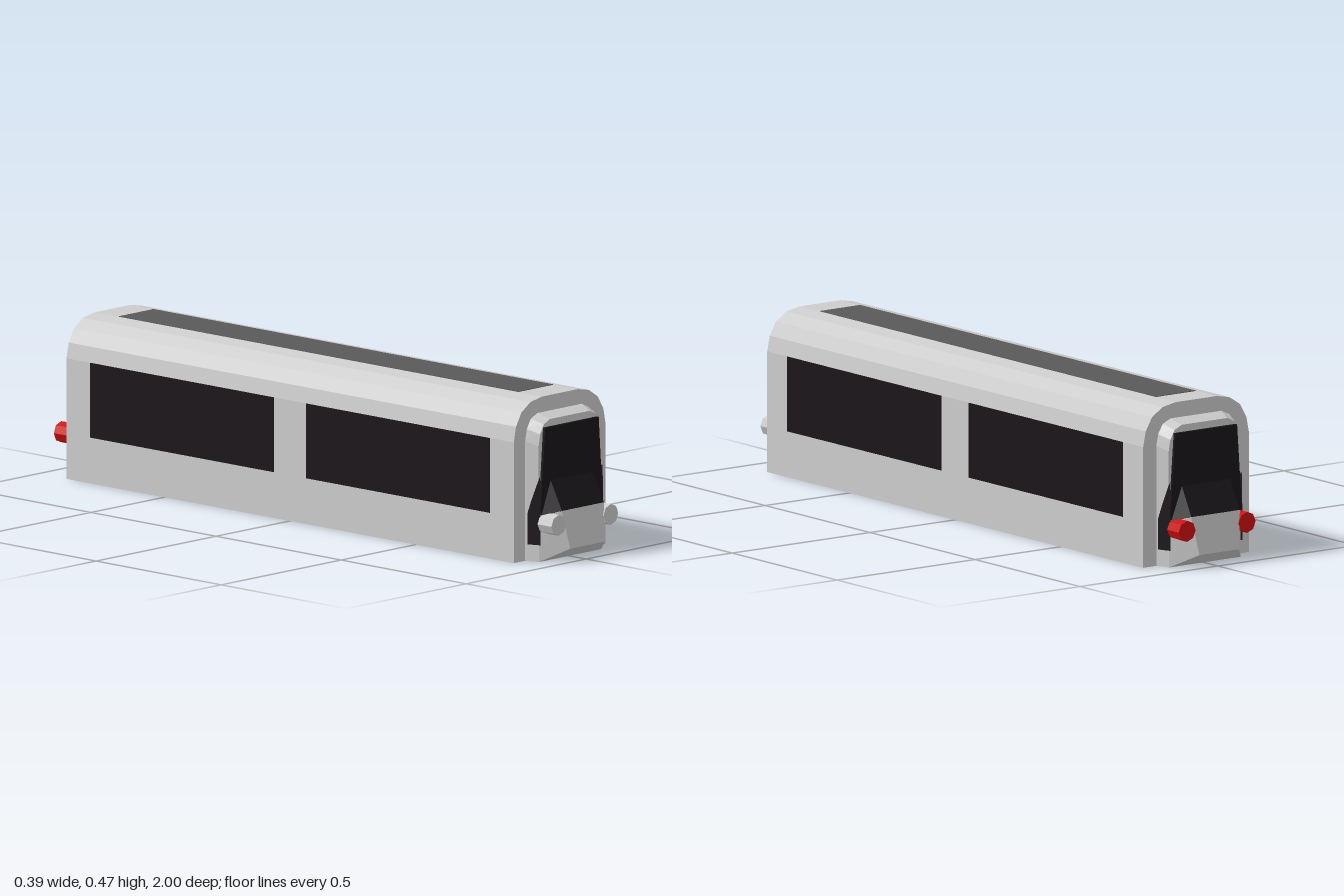
import * as THREE from 'three';
import { ConvexGeometry } from 'three/addons/geometries/ConvexGeometry.js';

const paint = (color) => new THREE.MeshStandardMaterial({ color, flatShading: true });
const grey = paint(0xcccccc);
const glass = paint(0x1a151a);
const roofGrey = paint(0x595959);
const red = paint(0xd01010);

function add(parent, name, geometry, material, x = 0, y = 0, z = 0) {
  const mesh = new THREE.Mesh(geometry, material);
  mesh.name = name;
  mesh.position.set(x, y, z);
  parent.add(mesh);
  return mesh;
}

// Arch outline from its right half, mirrored to the other side
function archShape(half) {
  const mirrored = half.map(([x, y]) => [-x, y]).reverse();
  return new THREE.Shape([...half, ...mirrored].map(([x, y]) => new THREE.Vector2(x, y)));
}

// Convex solid from points mirrored across x = 0
function mirroredHull(points) {
  return new ConvexGeometry(points.flatMap(([x, y, z]) => [
    new THREE.Vector3(x, y, z), new THREE.Vector3(-x, y, z),
  ]));
}

// One end of the carriage, facing +z
function createCab(lampMaterial) {
  const cab = new THREE.Group();

  // Arched collar that narrows away from the body
  const collar = new THREE.ExtrudeGeometry(archShape([
    [0.148, 0], [0.148, 0.355], [0.141, 0.39], [0.124, 0.418], [0.095, 0.431],
  ]), { depth: 0.05, bevelEnabled: false });
  const p = collar.attributes.position;
  for (let i = 0; i < p.count; i++) {
    if (p.getZ(i) > 0.01) p.setXY(i, p.getX(i) * 0.88, p.getY(i) * 0.96);
  }
  collar.computeVertexNormals();
  add(cab, 'collar', collar, grey, 0, 0, 0.88);

  add(cab, 'windscreen', mirroredHull([
    [0.112, 0.393, 0.92], [0.112, 0.393, 0.939], [0.131, 0.14, 0.92], [0.131, 0.14, 0.937],
  ]), glass);

  // Dark slope between windscreen and nose
  add(cab, 'windscreenHood', mirroredHull([
    [0.088, 0.235, 0.938], [0.088, 0.152, 0.982], [0.131, 0.132, 0.932], [0.088, 0.15, 0.92],
  ]), glass);

  add(cab, 'nose', mirroredHull([
    [0.13, 0, 0.92], [0.13, 0, 0.932], [0.13, 0.131, 0.92], [0.13, 0.131, 0.932],
    [0.088, 0.151, 0.982], [0.072, 0.04, 1],
  ]), grey);

  for (const side of [1, -1]) {
    // Dark corner panel wrapping round the collar
    const corner = [
      [0.146, 0.05, 0.9], [0.146, 0.14, 0.9], [0.131, 0.14, 0.939],
      [0.131, 0.05, 0.939], [0.131, 0.25, 0.936], [0.125, 0.05, 0.92], [0.125, 0.24, 0.92],
    ].map(([x, y, z]) => new THREE.Vector3(x * side, y, z));
    add(cab, 'cornerPanel', new ConvexGeometry(corner), glass);

    const lamp = new THREE.CylinderGeometry(0.031, 0.031, 0.055, 8).rotateX(Math.PI / 2);
    add(cab, 'lamp', lamp, lampMaterial, side * 0.109, 0.113, 0.9625);
  }
  return cab;
}

export function createModel() {
  const model = new THREE.Group();
  model.name = 'railCarriage';

  // Carriage sits very slightly turned
  const carriage = new THREE.Group();
  carriage.name = 'carriage';
  carriage.rotation.y = 0.005;
  model.add(carriage);

  // Body shell
  const shell = new THREE.ExtrudeGeometry(archShape([
    [0.192, 0], [0.192, 0.355], [0.183, 0.4], [0.16, 0.439], [0.122, 0.464], [0.075, 0.473],
  ]), { depth: 1.78, bevelEnabled: false });
  add(carriage, 'body', shell, grey, 0, 0, -0.89);

  // Side windows
  for (const side of [1, -1]) {
    for (const end of [1, -1]) {
      add(carriage, 'sideWindow', new THREE.BoxGeometry(0.01, 0.22, 0.73), glass,
        side * 0.1885, 0.245, end * 0.43);
    }
  }

  // Roof strip
  add(carriage, 'roofStrip', new THREE.BoxGeometry(0.145, 0.01, 1.59), roofGrey, 0, 0.4695, 0);

  // Cabs with pale front lamps and red rear lamps
  const frontCab = createCab(grey);
  frontCab.name = 'frontCab';
  const rearCab = createCab(red);
  rearCab.name = 'rearCab';
  rearCab.rotation.y = Math.PI;
  carriage.add(frontCab, rearCab);

  return model;
}
